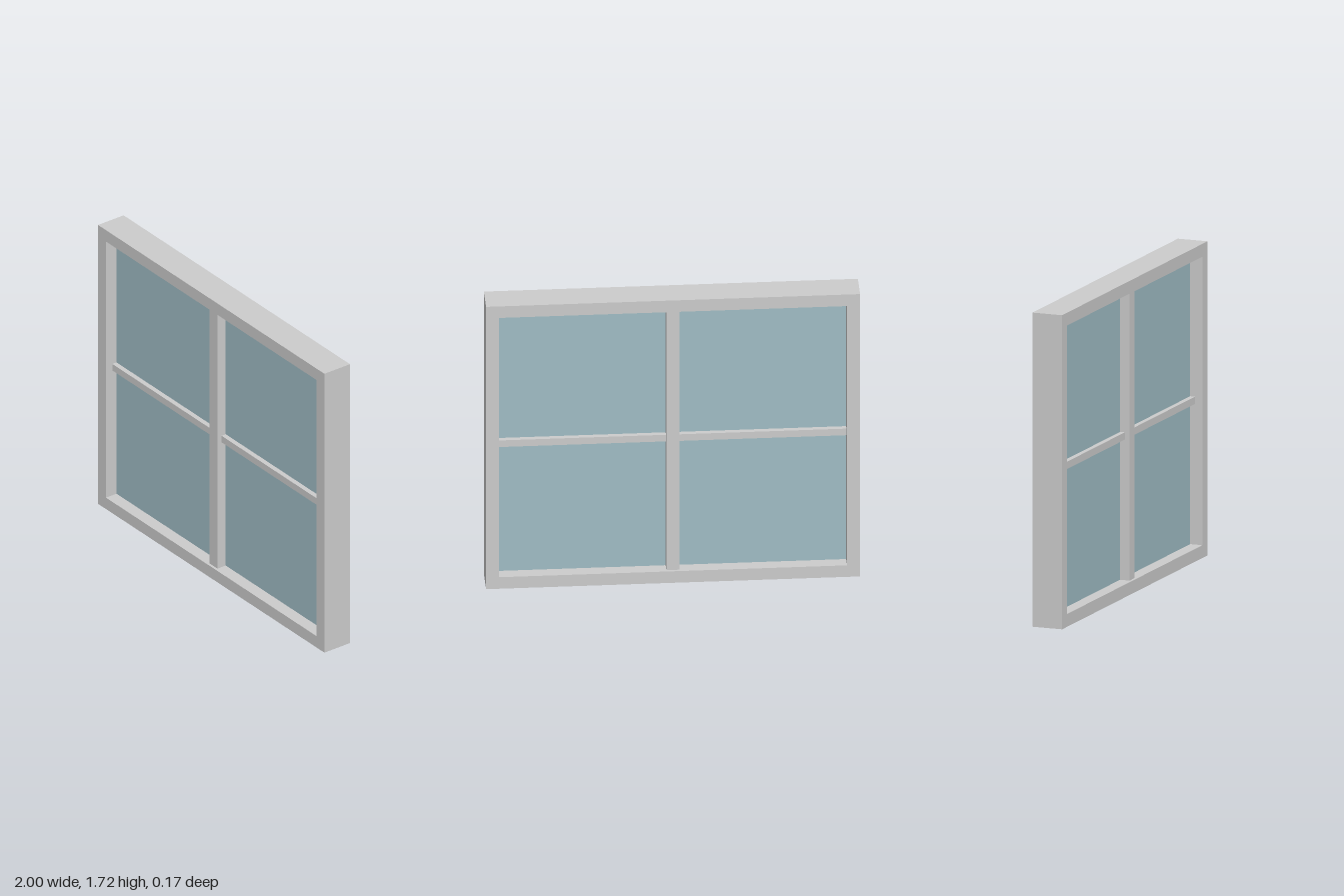
import * as THREE from 'three';

const W = 2, H = 1.715, D = 0.171; // outer size
const F = 0.07;                    // frame face width

export function createModel() {
  const group = new THREE.Group();
  group.name = 'window';
  const grey = new THREE.MeshStandardMaterial({ color: 0xcccccc });
  const blue = new THREE.MeshStandardMaterial({ color: 0x9fbcc4 });

  const add = (name, geometry, material, x = 0, y = 0, z = 0) => {
    const mesh = new THREE.Mesh(geometry, material);
    mesh.name = name;
    mesh.position.set(x, y, z);
    group.add(mesh);
  };

  // Closed rectangle, used for the outline and the opening
  const rect = (path, x, y0, y1) => {
    path.moveTo(-x, y0);
    path.lineTo(x, y0);
    path.lineTo(x, y1);
    path.lineTo(-x, y1);
    path.closePath();
    return path;
  };

  // Outer frame with one rectangular opening
  const outline = rect(new THREE.Shape(), W / 2, 0, H);
  outline.holes.push(rect(new THREE.Path(), W / 2 - F, F, H - F));
  add('frame', new THREE.ExtrudeGeometry(outline, { depth: D, bevelEnabled: false }), grey, 0, 0, -D / 2);

  // Centre post, set slightly back from the frame face
  const innerW = W - 2 * F, innerH = H - 2 * F;
  add('centrePost', new THREE.BoxGeometry(F, innerH, 0.14), grey, 0, H / 2);

  // Thin crossbars and glass on both sides of the post
  const paneW = (innerW - F) / 2;
  for (const [side, s] of [['left', 1], ['right', -1]]) {
    const x = s * (F + paneW) / 2;
    add(side + 'Crossbar', new THREE.BoxGeometry(paneW, 0.04, 0.086), grey, x, H / 2);
    add(side + 'Glass', new THREE.BoxGeometry(paneW, innerH, 0.03), blue, x, H / 2);
  }

  return group;
}
